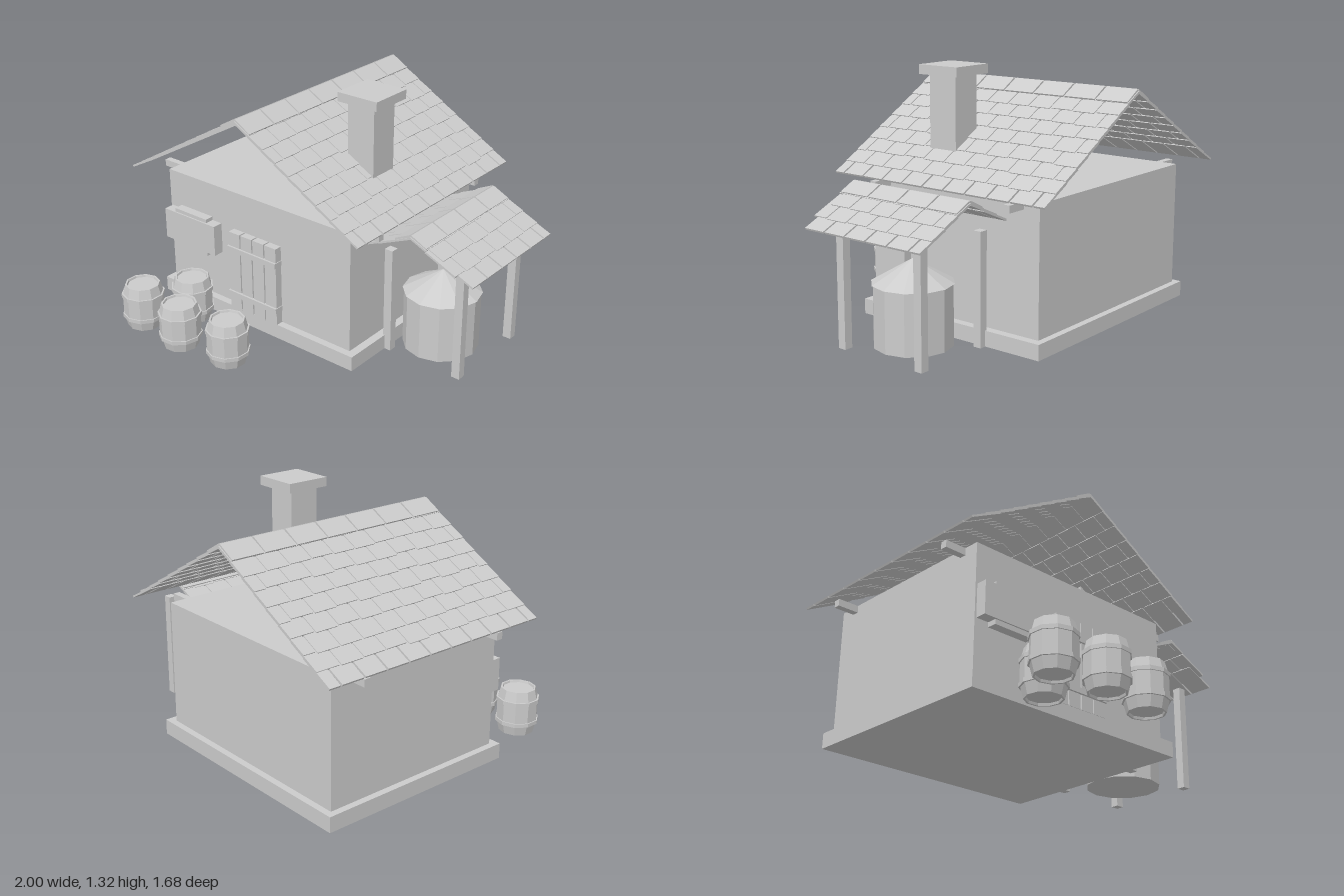
import * as THREE from 'three';

const mat = new THREE.MeshStandardMaterial({ color: 0xcccccc, flatShading: true, side: THREE.DoubleSide });

function add(parent, name, geometry, x = 0, y = 0, z = 0) {
  const mesh = new THREE.Mesh(geometry, mat);
  mesh.name = name;
  mesh.position.set(x, y, z);
  parent.add(mesh);
  return mesh;
}

// Box given by its minimum and maximum corners
function box(parent, name, x0, x1, y0, y1, z0, z1) {
  return add(parent, name, new THREE.BoxGeometry(x1 - x0, y1 - y0, z1 - z0),
    (x0 + x1) / 2, (y0 + y1) / 2, (z0 + z1) / 2);
}

function group(parent, name) {
  const g = new THREE.Group();
  g.name = name;
  parent.add(g);
  return g;
}

function seeded(seed) {
  return () => (seed = (seed * 16807) % 2147483647) / 2147483647;
}

// One roof slope: overlapping rows of shingles laid from eave to ridge
function slope(parent, name, ridge, eave, z0, z1, rand) {
  const g = group(parent, name);
  const dx = ridge.x - eave.x, dy = ridge.y - eave.y;
  const length = Math.hypot(dx, dy);
  g.position.set(eave.x, eave.y, 0);
  // local x climbs the slope; the far side is turned round to face inwards
  const side = Math.sign(dx);
  if (side < 0) g.rotation.y = Math.PI;
  const pitch = group(g, name + 'Pitch');
  pitch.rotation.z = Math.atan2(dy, Math.abs(dx));
  const rows = Math.round(length / 0.0985), step = length / rows, width = 0.131;
  for (let r = 0; r < rows; r++) {
    const start = r * step;
    const end = Math.min(start + step * 1.95, length);
    for (let z = z0 - (r % 2 ? 0 : width / 2); z < z1 - 0.01; z += width) {
      const a = Math.max(z, z0), b = Math.min(z + width, z1);
      if (b - a < 0.02) continue;
      const lower = r === 0 ? start : start - rand() * 0.012;
      const s = box(pitch, 'shingle', lower, end, -0.005, 0.005,
        a + (a > z0 ? 0.005 : 0), b - (b < z1 ? 0.005 : 0));
      s.position.z *= side;
      s.rotation.z = -0.045;
    }
  }
}

// Folded cap tiles along a ridge
function ridgeCaps(parent, x, y, z0, z1, half, angle, count) {
  const g = group(parent, 'ridgeCaps');
  const step = (z1 - z0) / count, length = half / Math.cos(angle);
  for (let i = 0; i < count; i++) {
    for (const side of [-1, 1]) {
      const cap = add(g, 'ridgeCap', new THREE.BoxGeometry(length, 0.016, step - 0.01),
        x + side * half / 2, y - Math.tan(angle) * half / 2 - 0.009, z0 + (i + 0.5) * step);
      cap.rotation.z = -side * angle;
    }
  }
}

// Ten-sided barrel with sunken lids and two hoops
function barrel(parent, x, z, turn) {
  const g = group(parent, 'barrel');
  g.position.set(x, 0, z);
  g.rotation.y = turn;
  const profile = [[0, 0.012], [0.08, 0.012], [0.083, 0], [0.092, 0], [0.108, 0.065],
    [0.108, 0.18], [0.092, 0.243], [0.083, 0.243], [0.08, 0.232], [0, 0.232]];
  add(g, 'barrelBody', new THREE.LatheGeometry(profile.map(p => new THREE.Vector2(...p)), 10));
  for (const y of [0.064, 0.181]) {
    add(g, 'barrelHoop', new THREE.CylinderGeometry(0.114, 0.114, 0.02, 10, 1), 0, y, 0);
  }
}

export function createModel() {
  const model = new THREE.Group();
  model.name = 'cottage';
  const rand = seeded(7);

  // House body, open under the roof
  box(model, 'foundation', -0.89, 0.43, 0, 0.08, -0.75, 0.37);
  box(model, 'walls', -0.855, 0.385, 0.08, 0.735, -0.715, 0.33);
  for (const z of [-0.608, 0.232]) {
    box(model, 'roofBeam', -0.97, 0.495, 0.697, 0.734, z - 0.018, z + 0.018);
  }

  // Main roof
  const mainRoof = group(model, 'mainRoof');
  const ridge = new THREE.Vector2(-0.235, 1.197);
  slope(mainRoof, 'leftSlope', ridge, new THREE.Vector2(0.527, 0.754), -0.845, 0.46, rand);
  slope(mainRoof, 'rightSlope', ridge, new THREE.Vector2(-0.995, 0.754), -0.845, 0.46, rand);
  ridgeCaps(mainRoof, -0.235, 1.212, -0.845, 0.46, 0.093, 0.526, 7);

  // Chimney
  box(model, 'chimney', 0.13, 0.29, 0.73, 1.27, -0.135, 0.03);
  box(model, 'chimneyCap', 0.09, 0.33, 1.267, 1.315, -0.175, 0.065);

  // Lean-to roof and its posts
  const shed = group(model, 'sideShelter');
  const top = new THREE.Vector2(0.65, 0.757);
  slope(shed, 'outerSlope', top, new THREE.Vector2(0.992, 0.59), -0.525, 0.215, rand);
  slope(shed, 'innerSlope', top, new THREE.Vector2(0.38, 0.625), -0.525, 0.215, rand);
  ridgeCaps(shed, 0.65, 0.771, -0.525, 0.215, 0.088, 0.455, 4.5 | 0 || 4);
  for (const x of [0.443, 0.865]) {
    for (const z of [-0.412, 0.074]) {
      box(shed, 'post', x - 0.023, x + 0.023, 0, 0.575, z - 0.022, z + 0.022);
    }
  }

  // Storage tank with conical lid
  const tank = group(model, 'tank');
  tank.position.set(0.617, 0, -0.14);
  add(tank, 'tankBody', new THREE.CylinderGeometry(0.198, 0.198, 0.312, 12), 0, 0.156, 0);
  add(tank, 'tankLid', new THREE.ConeGeometry(0.205, 0.118, 12), 0, 0.371, 0);

  // Shuttered window
  box(model, 'windowPanel', -0.775, -0.545, 0.33, 0.545, 0.33, 0.38);
  box(model, 'windowShutters', -0.845, -0.48, 0.355, 0.525, 0.33, 0.388);

  // Plank door with two crossbars
  const door = group(model, 'door');
  for (let i = 0; i < 4; i++) {
    const x = -0.388 + i * 0.083;
    box(door, 'doorPlank', x, x + 0.075, 0.075, 0.523, 0.33, 0.372);
  }
  for (const y of [0.165, 0.43]) box(door, 'doorCrossbar', -0.394, -0.06, y - 0.014, y + 0.014, 0.33, 0.383);

  // Barrels by the front wall
  [[-0.72, 0.695], [-0.57, 0.48], [-0.42, 0.72], [-0.12, 0.68]].forEach(([x, z], i) => barrel(model, x, z, i * 0.2));

  return model;
}
